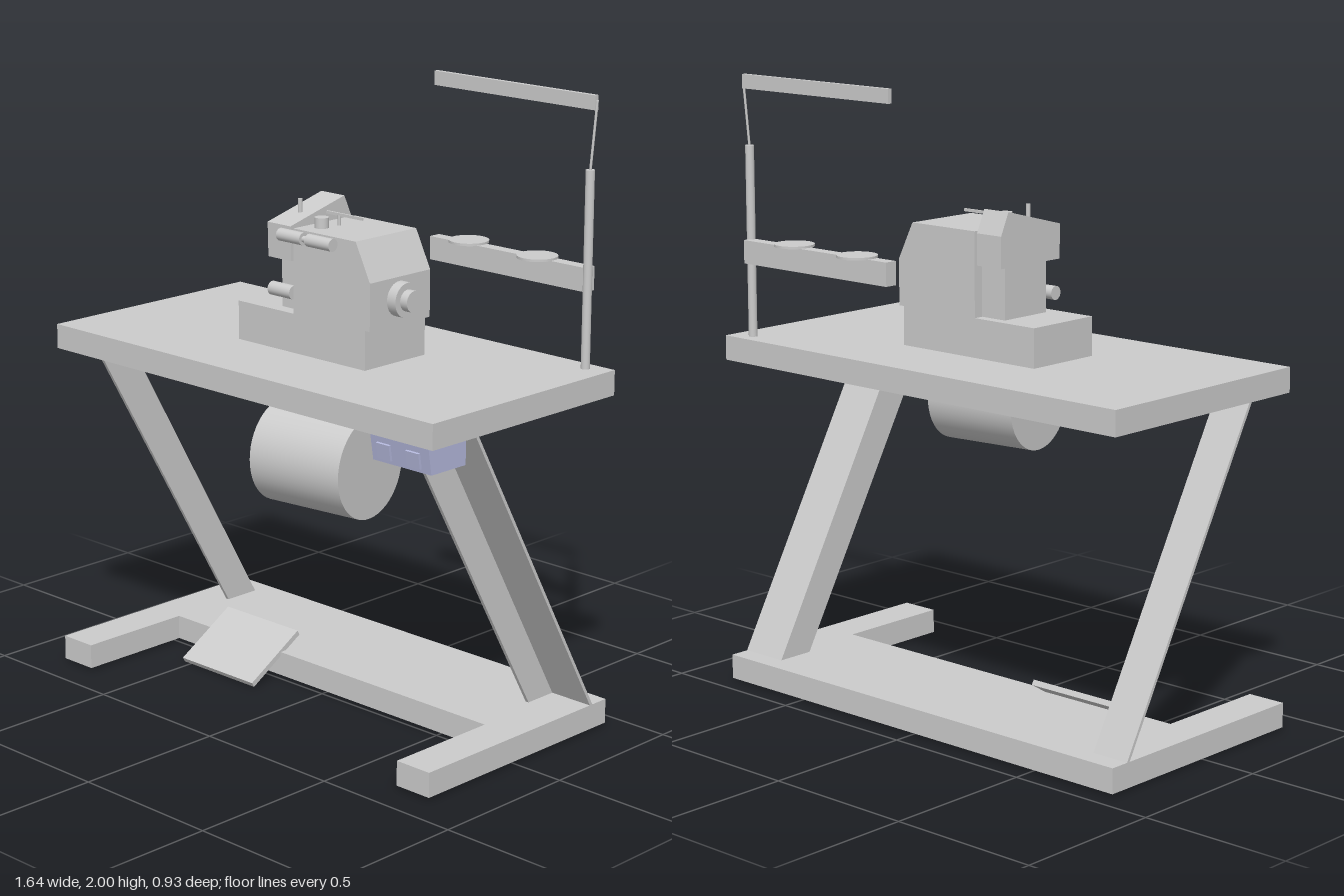
import * as THREE from 'three';

const grey = new THREE.MeshStandardMaterial({ color: 0xcccccc });
const blue = new THREE.MeshStandardMaterial({ color: 0xb4b8dc });

export function createModel() {
  const model = new THREE.Group();

  function add(name, geometry, material = grey) {
    const mesh = new THREE.Mesh(geometry, material);
    mesh.name = name;
    model.add(mesh);
    return mesh;
  }
  // Box given by its extents
  function box(name, x0, x1, y0, y1, z0, z1, material) {
    const mesh = add(name, new THREE.BoxGeometry(x1 - x0, y1 - y0, z1 - z0), material);
    mesh.position.set((x0 + x1) / 2, (y0 + y1) / 2, (z0 + z1) / 2);
    return mesh;
  }
  // Cylinder between two points
  function rod(name, a, b, r, sides = 32) {
    const p = new THREE.Vector3(...a), q = new THREE.Vector3(...b);
    const mesh = add(name, new THREE.CylinderGeometry(r, r, p.distanceTo(q), sides));
    mesh.position.copy(p).lerp(q, 0.5);
    mesh.quaternion.setFromUnitVectors(new THREE.Vector3(0, 1, 0), q.sub(p).normalize());
    return mesh;
  }
  const outline = pts => new THREE.Shape(pts.map(p => new THREE.Vector2(...p)));
  const extrude = (pts, depth) =>
    new THREE.ExtrudeGeometry(outline(pts), { depth, bevelEnabled: false });
  // Side profile of [z, y] points, extruded from x0 to x1
  function profile(name, pts, x0, x1, material) {
    const g = extrude(pts, x1 - x0).rotateY(-Math.PI / 2).translate(x1, 0, 0);
    return add(name, g, material);
  }

  // Table top
  box('tableTop', -0.82, 0.82, 1.08, 1.16, -0.435, 0.385);

  // U-shaped floor frame, open to the front
  const frame = extrude([[-0.82, -0.385], [-0.69, -0.385], [-0.69, 0.01], [0.69, 0.01],
    [0.69, -0.385], [0.82, -0.385], [0.82, 0.435], [-0.82, 0.435]], 0.08);
  add('floorFrame', frame.rotateX(-Math.PI / 2).translate(0, 0.01, 0));

  // Sloping angle-section legs: an inner side plate and a back plate
  const t = 0.012;
  const sidePlate = [[-0.37, 0.09], [-0.243, 0.09], [0.32, 1.08], [0.185, 1.08]];
  const backPlate = [[-0.37, 0.09], [-0.37 + t, 0.09], [0.185 + t, 1.08], [0.185, 1.08]];
  for (const [name, inner, outer] of [['rightLeg', -0.69, -0.82], ['leftLeg', 0.655, 0.82]]) {
    const web = inner + Math.sign(inner) * t;
    profile(name + 'SidePlate', sidePlate, Math.min(inner, web), Math.max(inner, web));
    profile(name + 'BackPlate', backPlate, Math.min(inner, outer), Math.max(inner, outer));
  }

  // Foot pedal
  const pedal = add('footPedal', new THREE.BoxGeometry(0.33, 0.018, 0.245));
  pedal.position.set(-0.365, 0.073, 0.012);
  pedal.rotation.x = 0.54;

  // Motor under the table, turned slightly
  const motor = add('motor', new THREE.CylinderGeometry(0.16, 0.16, 0.333, 48).rotateZ(Math.PI / 2));
  motor.position.set(0.292, 0.925, 0.28);
  motor.rotation.y = 0.122;

  // Switch box with two buttons
  profile('switchBox', [[0.225, 1.0], [0.372, 1.0], [0.385, 1.08], [0.225, 1.08]], 0.575, 0.805, blue);
  for (const x of [0.627, 0.743]) {
    const button = box('switchButton', x - 0.026, x + 0.026, 1.012, 1.062, 0.372, 0.386, blue);
    button.rotation.x = 0.16;
  }

  // Machine bed and arm
  box('machineBed', -0.265, 0.285, 1.16, 1.285, -0.163, 0.105);
  const arm = [[-0.02, 1.285], [0.305, 1.285], [0.305, 1.435], [0.245, 1.555], [-0.02, 1.555]];
  add('machineArm', extrude(arm, 0.268).translate(0, 0, -0.163));

  // Head: lower block and sloping upper block
  box('headLowerBlock', -0.115, -0.02, 1.285, 1.45, -0.13, 0.06);
  profile('headUpperBlock', [[-0.163, 1.45], [0.105, 1.45], [0.108, 1.56], [-0.13, 1.622],
    [-0.163, 1.55]], -0.13, -0.03);
  rod('headPin', [-0.08, 1.57, 0.015], [-0.08, 1.627, 0.015], 0.007, 16);
  rod('needleRoller', [-0.135, 1.345, 0.083], [-0.04, 1.345, 0.083], 0.022);

  // Thread guides on the arm
  for (const [x0, x1] of [[-0.055, 0.045], [0.067, 0.17]])
    rod('tensionRoller', [x0, 1.535, 0.126], [x1, 1.535, 0.126], 0.02);
  rod('tensionAxle', [0.04, 1.535, 0.126], [0.07, 1.535, 0.126], 0.01, 16);
  box('tensionBracket', 0.04, 0.072, 1.527, 1.543, 0.1, 0.12);
  rod('armKnob', [0.033, 1.55, 0.035], [0.033, 1.588, 0.035], 0.022);
  box('threadGuide', -0.005, 0.15, 1.585, 1.594, -0.029, -0.022);
  rod('threadGuidePost', [0.05, 1.55, -0.025], [0.05, 1.588, -0.025], 0.005, 12);

  // Handwheel
  rod('handwheel', [0.3, 1.367, -0.025], [0.34, 1.367, -0.025], 0.055, 40);
  rod('handwheelHub', [0.335, 1.367, -0.025], [0.368, 1.367, -0.025], 0.034, 40);

  // Thread stand
  rod('standPole', [0.745, 1.16, -0.385], [0.745, 1.775, -0.385], 0.014);
  rod('standWire', [0.745, 1.77, -0.385], [0.757, 1.985, -0.396], 0.004, 12);
  box('standTopBar', 0.11, 0.755, 1.955, 2.0, -0.403, -0.388);
  box('spoolBar', 0.11, 0.745, 1.4, 1.475, -0.417, -0.375);
  for (const [x, z] of [[0.25, -0.402], [0.545, -0.386]])
    rod('spoolPlate', [x, 1.474, z], [x, 1.482, z], 0.064, 40);

  return model;
}
